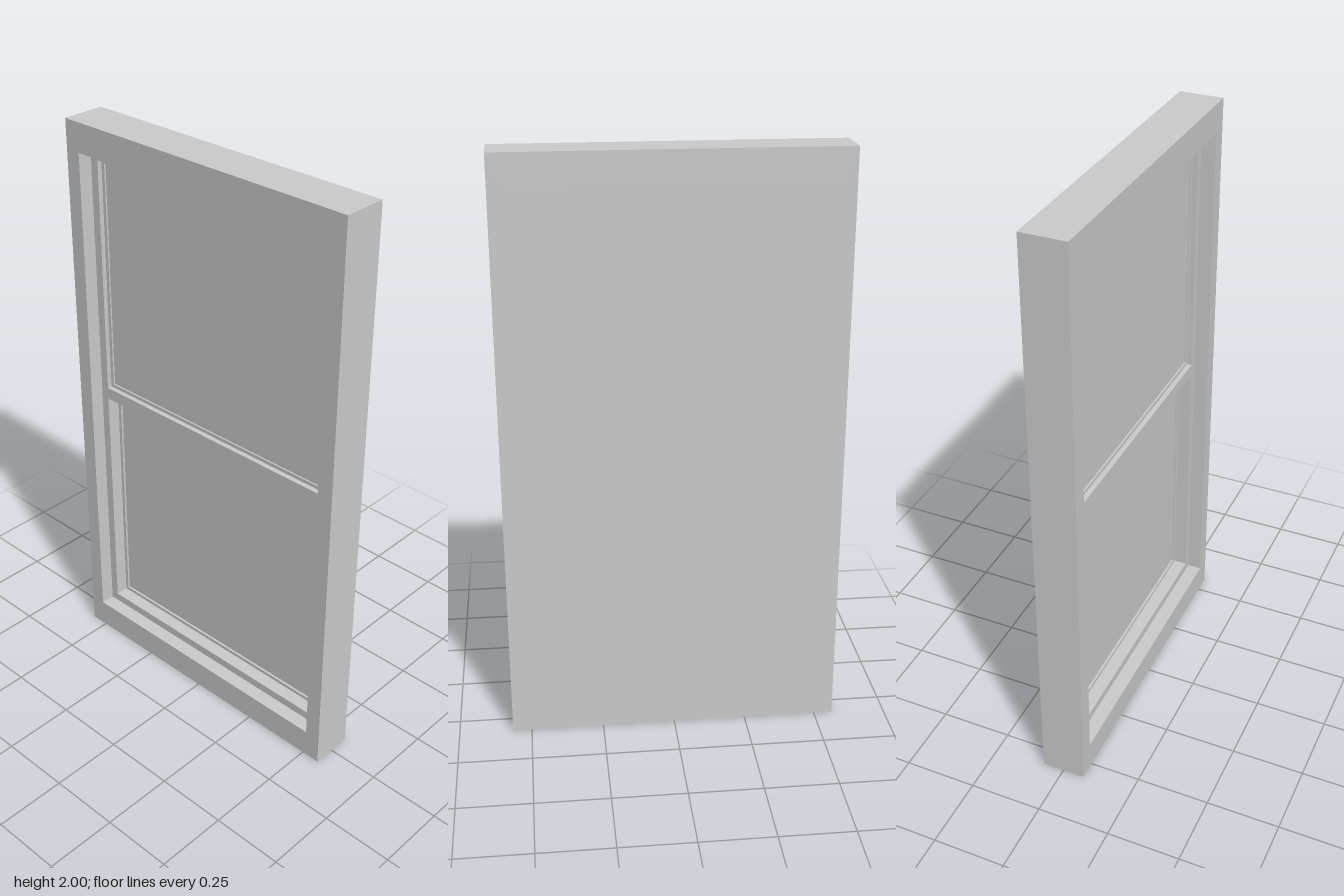
import * as THREE from 'three';

const material = new THREE.MeshStandardMaterial({ color: 0xcccccc });

// Rectangle outline, traced on a Shape or a Path
function rect(path, [x0, x1, y0, y1]) {
  path.moveTo(x0, y0);
  path.lineTo(x1, y0);
  path.lineTo(x1, y1);
  path.lineTo(x0, y1);
  path.closePath();
  return path;
}

const inset = ([x0, x1, y0, y1], d) => [x0 + d, x1 - d, y0 + d, y1 - d];

// Flat frame with rectangular openings, running from z0 to z1
function frame(name, outer, openings, z0, z1) {
  const shape = rect(new THREE.Shape(), outer);
  for (const o of openings) shape.holes.push(rect(new THREE.Path(), o));
  const geometry = new THREE.ExtrudeGeometry(shape, { depth: z1 - z0, bevelEnabled: false });
  geometry.translate(0, 0, z0);
  const mesh = new THREE.Mesh(geometry, material);
  mesh.name = name;
  return mesh;
}

// Narrow sash lip with its pane set just behind it
function sash(name, opening, front, paneDepth) {
  const group = new THREE.Group();
  group.name = name;
  const glass = inset(opening, 0.012);
  group.add(frame('sashLip', opening, [glass], -0.065, front));
  group.add(frame('pane', glass, [], -0.065, front - paneDepth));
  return group;
}

export function createModel() {
  const group = new THREE.Group();
  group.name = 'sashWindow';

  const outer = [-0.565, 0.565, 0, 2];
  const opening = [-0.51, 0.51, 0.1, 1.9];
  const upper = [-0.48, 0.48, 1.04, 1.87];
  const lower = [-0.48, 0.48, 0.13, 0.997];

  // Outer casing, full depth, with a closed back
  group.add(frame('casing', outer, [opening], -0.075, 0.075));
  group.add(frame('backPanel', opening, [], -0.075, -0.065));

  // Stop frame with the meeting rail, set back from the casing face
  group.add(frame('stopFrame', opening, [upper, lower], -0.065, 0.025));

  // The lower sash sits in the deeper track
  group.add(sash('upperSash', upper, 0.008, 0.006));
  group.add(sash('lowerSash', lower, -0.021, 0.008));

  return group;
}
